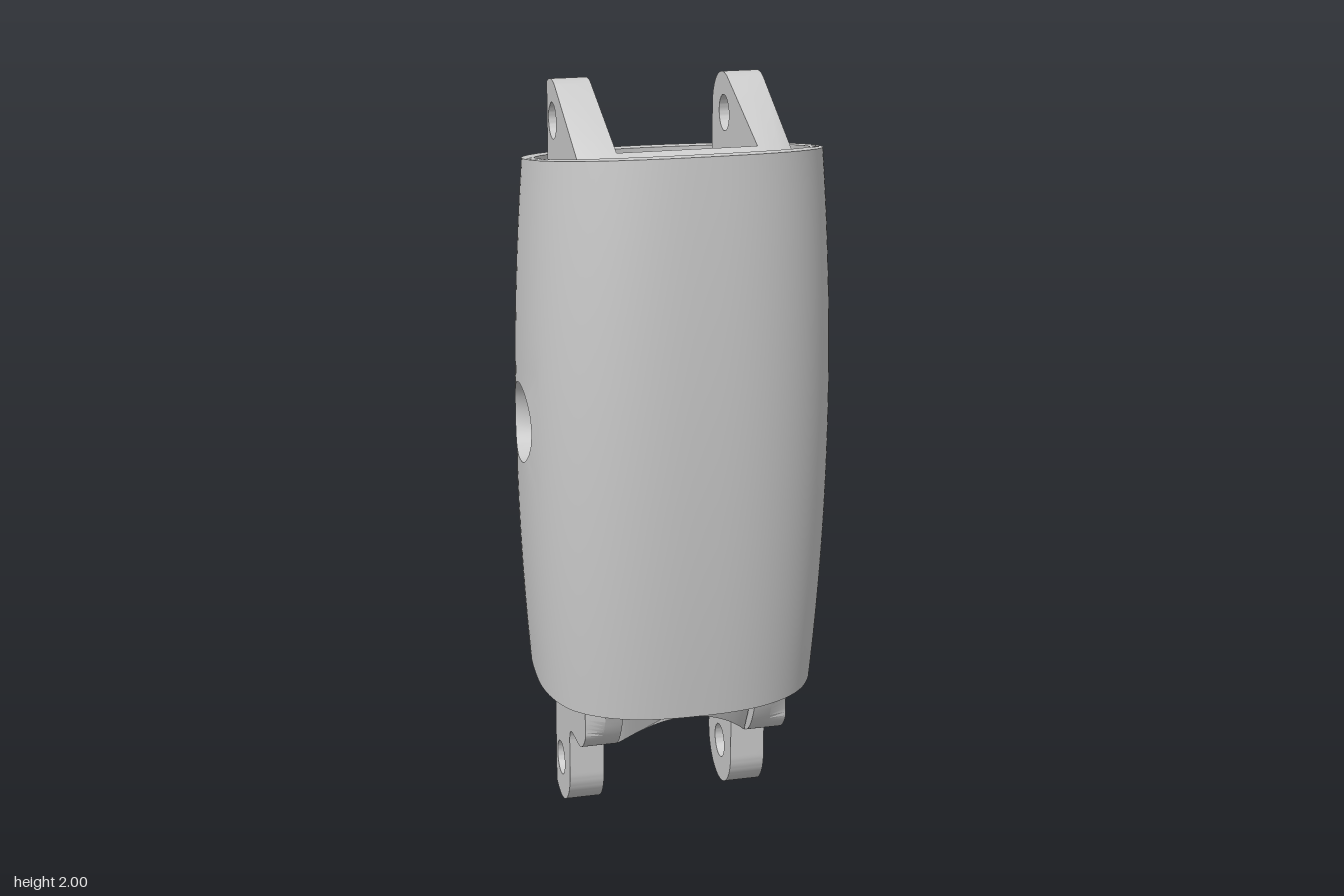
import * as THREE from 'three';
import { mergeGeometries, toCreasedNormals } from 'three/addons/utils/BufferGeometryUtils.js';

const material = new THREE.MeshStandardMaterial({ color: 0xcccccc });
const WALL = 0.033, MID = 0.05;          // shell thickness, z of its widest line
const HOLE = { z: 0.06, y: 1.14 };       // side screw hole
const COLS = 64, C0 = 26, C1 = 39;       // half-shell columns, and those around the hole
const BAND = 6;                          // rows per height band
const lerp = THREE.MathUtils.lerp;

// Shell section at height y: half width and half depths, bulging along the height
function section(y, inset, front) {
  const w = 0.405 - 0.06 * (y - 1.15) ** 2 - inset;
  const h = front ? 0.362 - 0.055 * (y - 1.45) ** 2 : 0.46 - 0.06 * (y - 0.9) ** 2;
  return { w, h: h - inset, n: front ? 2.5 : 2 };
}

function shellPoint(t, y, inset) {
  const c = Math.max(0, Math.cos(t)), s = Math.sin(t);
  const { w, h, n } = section(y, inset, s > 0);
  return [w * (c < 1e-9 ? 0 : c ** (2 / n)), y, MID + h * Math.sign(s) * Math.abs(s) ** (2 / n)];
}

function shellX(z, y, inset) {
  const { w, h, n } = section(y, inset, z > MID);
  return w * (1 - Math.abs((z - MID) / h) ** n) ** (1 / n);
}

// Slanted top rim and stepped bottom rim as heights over z
const topEdge = (z) => 1.76 + (z + 0.365) * 0.157;
const BOTTOM = [[-0.5, 0.66], [-0.3, 0.66], [-0.27, 0.645], [-0.245, 0.61], [-0.2, 0.53],
  [-0.13, 0.49], [-0.05, 0.46], [0.1, 0.42], [0.25, 0.397], [0.5, 0.385]];
function bottomEdge(z) {
  const k = BOTTOM.findIndex((p) => p[0] > z);
  const [a, b] = [BOTTOM[k - 1], BOTTOM[k]];
  return lerp(a[1], b[1], (z - a[0]) / (b[0] - a[0]));
}

function mirrorX(geometry) {
  const g = geometry.index ? geometry.toNonIndexed() : geometry.clone();
  g.scale(-1, 1, 1);
  for (const a of Object.values(g.attributes)) {
    for (let i = 0; i < a.count; i += 3) {
      for (let k = 0; k < a.itemSize; k++) {
        const v = a.getComponent(i + 1, k);
        a.setComponent(i + 1, k, a.getComponent(i + 2, k));
        a.setComponent(i + 2, k, v);
      }
    }
  }
  return g;
}

function shellGeometry() {
  const tris = [];
  const quad = (a, b, c, d, flip) => {
    if (flip) [b, d] = [d, b];
    tris.push(...a, ...b, ...c, ...a, ...c, ...d);
  };
  const grid = (inset) => Array.from({ length: COLS + 1 }, (_, i) => {
    const t = (i / COLS - 0.5) * Math.PI;
    const stops = [bottomEdge(shellPoint(t, 0.5, 0)[2]), 0.98, 1.3, topEdge(shellPoint(t, 1.8, 0)[2])];
    return Array.from({ length: 3 * BAND + 1 }, (_, j) => {
      const k = Math.min(2, Math.floor(j / BAND));
      return shellPoint(t, lerp(stops[k], stops[k + 1], j / BAND - k), inset);
    });
  });
  const skin = (P, inset, radius, inner) => {
    for (let i = 0; i < COLS; i++) for (let j = 0; j < 3 * BAND; j++) {
      if (i >= C0 && i < C1 && j >= BAND && j < 2 * BAND) continue;
      quad(P[i][j], P[i][j + 1], P[i + 1][j + 1], P[i + 1][j], inner);
    }
    // Patch between the skipped block and the round hole
    const loop = [];
    for (let i = C0; i < C1; i++) loop.push(P[i][BAND]);
    for (let j = BAND; j < 2 * BAND; j++) loop.push(P[C1][j]);
    for (let i = C1; i > C0; i--) loop.push(P[i][2 * BAND]);
    for (let j = 2 * BAND; j > BAND; j--) loop.push(P[C0][j]);
    const ring = loop.map(([, y, z]) => {
      const l = radius / Math.hypot(y - HOLE.y, z - HOLE.z);
      const yy = HOLE.y + (y - HOLE.y) * l, zz = HOLE.z + (z - HOLE.z) * l;
      return [shellX(zz, yy, inset), yy, zz];
    });
    loop.forEach((b, k) => {
      const m = (k + 1) % loop.length;
      quad(b, ring[k], ring[m], loop[m], inner);
      const deep = (p) => [0.345, p[1], p[2]];
      if (!inner) quad(ring[k], deep(ring[k]), deep(ring[m]), ring[m]);
    });
  };
  const outer = grid(0), inner = grid(WALL), top = 3 * BAND;
  skin(outer, 0, 0.105, false);
  skin(inner, WALL, 0.12, true);
  for (let i = 0; i < COLS; i++) {
    quad(outer[i][top], inner[i][top], inner[i + 1][top], outer[i + 1][top]);
    quad(outer[i][0], inner[i][0], inner[i + 1][0], outer[i + 1][0], true);
  }
  const half = new THREE.BufferGeometry();
  half.setAttribute('position', new THREE.Float32BufferAttribute(tris, 3));
  return toCreasedNormals(mergeGeometries([half, mirrorX(half)]), 0.6);
}

// Side-view shape (first axis is -z) extruded along x from x0 to x1
function sideExtrude(shape, x0, x1, steps = 1) {
  return new THREE.ExtrudeGeometry(shape, { depth: x1 - x0, steps, bevelEnabled: false, curveSegments: 24 })
    .rotateY(Math.PI / 2).translate(x0, 0, 0);
}

function addHole(shape, x, y, r) {
  shape.holes.push(new THREE.Path().absarc(x, y, r, 0, Math.PI * 2, true));
}

function annulus(radius, bore) {
  const s = new THREE.Shape().absarc(-HOLE.z, HOLE.y, radius, 0, Math.PI * 2, false);
  addHole(s, -HOLE.z, HOLE.y, bore);
  return s;
}

function sidePlateGeometry() {
  const s = new THREE.Shape();
  s.moveTo(-0.04, 0.115);
  s.absarc(0.075, 0.115, 0.115, Math.PI, Math.PI * 2, false);
  s.lineTo(0.19, 0.34);
  s.absarc(0.235, 0.42, 0.0918, -2.083, 2.083, true);
  s.lineTo(0.19, 1.895);
  s.absarc(0.085, 1.895, 0.105, 0, 1.99, false);
  s.lineTo(-0.305, 1.836);
  s.lineTo(-0.305, 0.5);
  s.quadraticCurveTo(-0.26, 0.255, -0.15, 0.255);
  s.lineTo(-0.08, 0.255);
  s.quadraticCurveTo(-0.04, 0.255, -0.04, 0.215);
  addHole(s, 0.075, 0.115, 0.047);
  addHole(s, 0.075, 1.895, 0.047);
  addHole(s, -HOLE.z, HOLE.y, 0.045);
  const g = sideExtrude(s, 0.18, 0.275, 2), p = g.attributes.position;
  // Chamfer the outer front and back edges
  for (let i = 0; i < p.count; i++) {
    const x = p.getX(i), z = p.getZ(i);
    if (x > 0.26) p.setZ(i, Math.min(0.24, Math.max(-0.14, z)));
    else if (x > 0.2) p.setZ(i, Math.min(0.285, z));
  }
  return g;
}

function gussetGeometry() {
  const s = new THREE.Shape();
  s.moveTo(-0.235, 0.45);
  s.lineTo(0.03, 0.55);
  s.lineTo(0.19, 0.75);
  s.lineTo(0.19, 1.72);
  s.quadraticCurveTo(0.19, 1.78, 0.15, 1.78);
  s.quadraticCurveTo(0.125, 1.78, 0.11, 1.75);
  s.lineTo(-0.235, 1.1);
  addHole(s, -HOLE.z, HOLE.y, 0.045);
  return sideExtrude(s, 0.11, 0.18);
}

// Cross block with an arched underside and a rounded front
function crossBlockGeometry() {
  const s = new THREE.Shape();
  s.moveTo(-0.18, 0.5);
  s.lineTo(-0.18, 0.25);
  const a = Math.asin(0.18 / 0.2277);
  s.absarc(0, 0.345 - 0.2277, 0.2277, Math.PI / 2 + a, Math.PI / 2 - a, true);
  s.lineTo(0.18, 0.25);
  s.lineTo(0.18, 0.5);
  const g = new THREE.ExtrudeGeometry(s, { depth: 0.2, bevelEnabled: false, curveSegments: 32 }).translate(0, 0, 0.035);
  const p = g.attributes.position;
  for (let i = 0; i < p.count; i++) {
    if (p.getZ(i) > 0.2) p.setZ(i, 0.15 + 0.155 * Math.sqrt(Math.max(0, p.getY(i) - 0.25) / 0.25));
  }
  return g;
}

export function createModel() {
  const model = new THREE.Group();
  const bracket = new THREE.Group();
  bracket.name = 'innerBracket';
  bracket.position.x = -0.005;
  const add = (parent, name, geometry) => {
    const mesh = new THREE.Mesh(geometry, material);
    mesh.name = name;
    parent.add(mesh);
  };
  const addPair = (parent, name, geometry) => {
    const g = toCreasedNormals(geometry, 0.5);
    add(parent, name + 'Left', g);
    add(parent, name + 'Right', mirrorX(g));
  };

  // Outer sleeve with its screw bosses
  add(model, 'shell', shellGeometry());
  addPair(model, 'screwBoss', sideExtrude(annulus(0.17, 0.045), 0.28, 0.345));
  addPair(model, 'bossCollar', sideExtrude(annulus(0.165, 0.106), 0.345, 0.362));

  // Hinge bracket: two plates, gussets, front wall and arched block
  addPair(bracket, 'hingePlate', sidePlateGeometry());
  addPair(bracket, 'gusset', gussetGeometry());
  const wall = new THREE.Shape([[-0.305, 0.5], [-0.235, 0.5], [-0.235, 1.867], [-0.305, 1.836]]
    .map(([x, y]) => new THREE.Vector2(x, y)));
  add(bracket, 'frontWall', sideExtrude(wall, -0.18, 0.18));
  add(bracket, 'crossBlock', toCreasedNormals(crossBlockGeometry(), 0.5));
  add(bracket, 'frontRib', new THREE.BoxGeometry(0.28, 0.85, 0.04).translate(0, 0.88, 0.315));
  model.add(bracket);
  return model;
}
